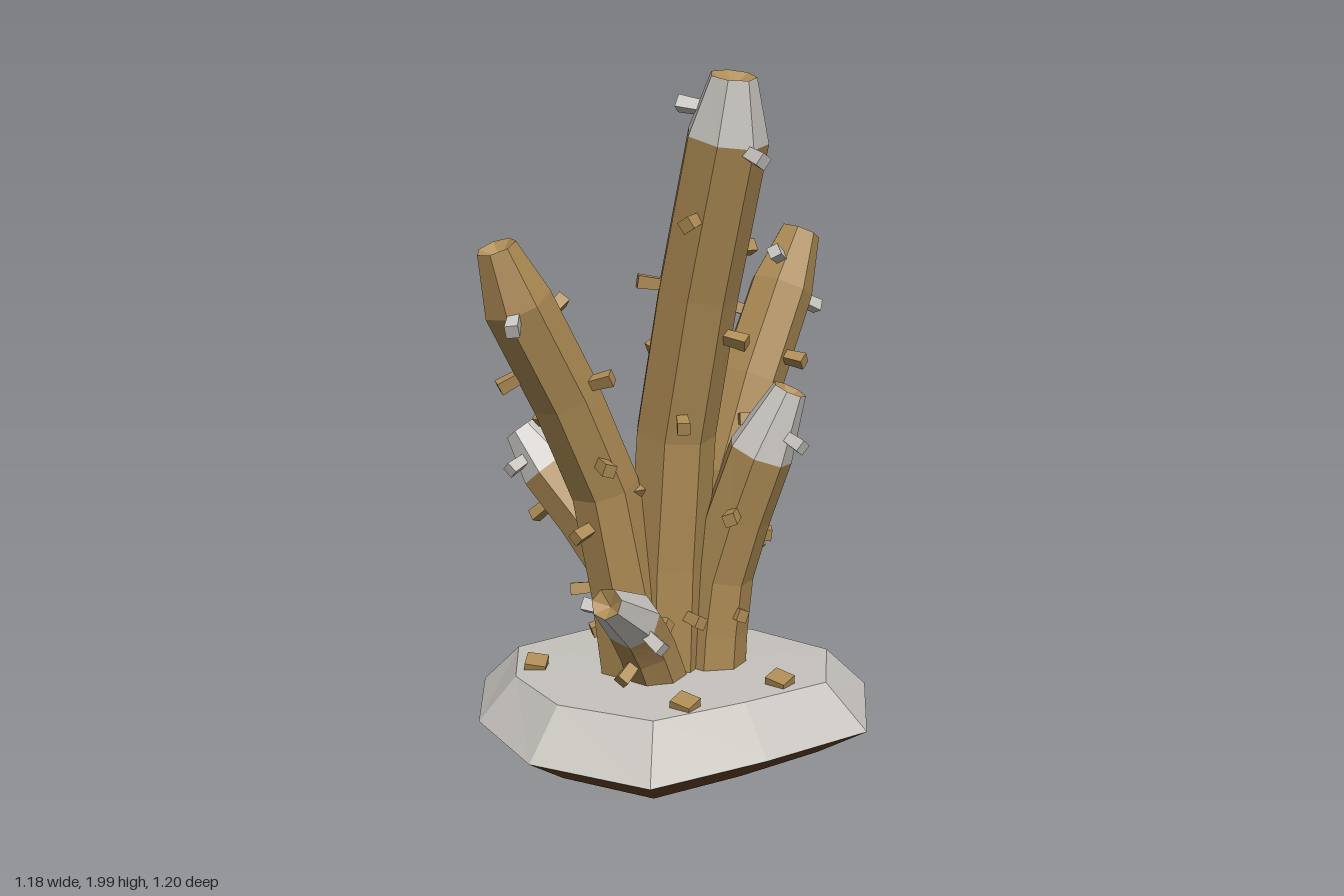
import * as THREE from 'three';

const UP = new THREE.Vector3(0, 1, 0);
const BASE_Y = 0.15;
const SIDES = 7;

function material(name, color) {
  const m = new THREE.MeshStandardMaterial({ color, flatShading: true });
  m.name = name;
  return m;
}

function mesh(parent, name, geometry, mat) {
  const m = new THREE.Mesh(geometry, mat);
  m.name = name;
  parent.add(m);
  return m;
}

// Faceted skin over successive rings, with optional fans closing each end
function skin(rings, bottom, top) {
  const pos = [];
  const tri = (...pts) => pts.forEach((p) => pos.push(p.x, p.y, p.z));
  const n = rings[0].length, last = rings[rings.length - 1];
  for (let i = 0; i < n; i++) {
    const j = (i + 1) % n;
    for (let k = 0; k + 1 < rings.length; k++) {
      const a = rings[k], b = rings[k + 1];
      tri(a[i], b[i], b[j]);
      tri(a[i], b[j], a[j]);
    }
    if (top) tri(last[i], top, last[j]);
    if (bottom) tri(rings[0][j], bottom, rings[0][i]);
  }
  const g = new THREE.BufferGeometry();
  g.setAttribute('position', new THREE.Float32BufferAttribute(pos, 3));
  g.computeVertexNormals();
  return g;
}

// Seven-sided ring square to a direction
function ring(centre, dir, radius) {
  const q = new THREE.Quaternion().setFromUnitVectors(UP, dir);
  return Array.from({ length: SIDES }, (_, i) => {
    const a = (i / SIDES) * Math.PI * 2;
    return new THREE.Vector3(Math.cos(a) * radius, 0, Math.sin(a) * radius).applyQuaternion(q).add(centre);
  });
}

// A curved body from foot through bend to shoulder, then a tapering tip
function makeStalk(name, foot, bend, shoulder, tip, radii, spineCount, spineTurn, tipMat, bark, pale) {
  const group = new THREE.Group();
  group.name = name;
  const curve = new THREE.CatmullRomCurve3([
    new THREE.Vector3(foot[0], BASE_Y, foot[1]), new THREE.Vector3(...bend), new THREE.Vector3(...shoulder)]);
  const centres = [...curve.getPoints(4), new THREE.Vector3(...tip)];
  const end = centres.length - 1;
  const radiusAt = (k) => (k === end ? radii[1] : radii[0] * (1 - 0.02 * k));
  const rings = centres.map((c, k) => ring(
    c,
    centres[Math.min(k + 1, end)].clone().sub(centres[Math.max(k - 1, 0)]).normalize(),
    radiusAt(k)));
  const tipDir = centres[end].clone().sub(centres[end - 1]).normalize();

  // Body, tip and dimpled end
  mesh(group, 'stalkBody', skin(rings.slice(0, end), centres[0]), bark);
  mesh(group, 'stalkTip', skin(rings.slice(end - 1)), tipMat);
  mesh(group, 'stalkEnd', skin([rings[end]], null, centres[end].clone().addScaledVector(tipDir, -0.035)), bark);

  // Spines wind down from the tip, closer together near it, square to the stalk
  const topY = THREE.MathUtils.lerp(shoulder[1], tip[1], 0.4);
  for (let i = 0; i < spineCount; i++) {
    const y = THREE.MathUtils.lerp(topY, 0.27, (i / spineCount) ** 1.15);
    const k = centres.findIndex((c) => c.y > y) - 1;
    const a = centres[k], b = centres[k + 1], t = (y - a.y) / (b.y - a.y);
    const tangent = b.clone().sub(a).normalize();
    const angle = THREE.MathUtils.degToRad(spineTurn - 150 * i);
    const dir = new THREE.Vector3(Math.cos(angle), 0, Math.sin(angle));
    dir.addScaledVector(tangent, -dir.dot(tangent)).normalize();
    const spineMat = y > shoulder[1] - 0.02 ? pale : bark;
    const spine = mesh(group, 'spine', new THREE.CylinderGeometry(0.026, 0.022, 0.08, 4), spineMat);
    const reach = THREE.MathUtils.lerp(radiusAt(k), radiusAt(k + 1), t) + 0.014;
    spine.position.lerpVectors(a, b, t).addScaledVector(dir, reach);
    spine.quaternion.setFromUnitVectors(UP, dir);
  }
  return group;
}

export function createModel() {
  const model = new THREE.Group();
  model.name = 'branchingCoral';
  const bark = material('tanBrown', 0xad8b54);
  const pale = material('paleGrey', 0xc9c6c0);
  const earth = material('darkBrown', 0x664428);

  // Irregular rock base, slightly tilted
  const outline = [[.585, -.01], [.55, .38], [.21, .6], [-.15, .495], [-.5, .36],
    [-.585, -.01], [-.45, -.35], [-.18, -.6], [.18, -.54], [.45, -.33]];
  const level = (scale, y, tilt) => outline.map(([x, z]) =>
    new THREE.Vector3(x * scale, y + tilt * (z - x), z * scale));
  const low = level(0.77, 0, 0), mid = level(1, 0.078, 0.02), high = level(0.8, 0.21, 0.035);
  mesh(model, 'rockTop', skin([mid, high], null, new THREE.Vector3(0, 0.222, 0)), pale);
  mesh(model, 'rockUnderside', skin([low, mid], new THREE.Vector3()), earth);

  // Pebbles lying on the rock
  [80, 132, 228, 293].forEach((deg, i) => {
    const a = THREE.MathUtils.degToRad(deg), x = 0.39 * Math.cos(a), z = 0.39 * Math.sin(a);
    const pebble = mesh(model, 'pebble', new THREE.BoxGeometry(0.06, 0.045, 0.065), bark);
    pebble.position.set(x, 0.217 + 0.04 * (z - x), z);
    pebble.rotation.set(0.15, [0.05, 0.1, 0.6, 0][i], 0.2);
  });

  // Stalks: foot, bend, shoulder, tip, radii, spine count, first spine angle, tip colour
  const stalk = (...args) => model.add(makeStalk(...args, bark, pale));
  stalk('tallStalk', [0, 0], [0, .95, .04], [-.05, 1.81, .26], [-.07, 1.975, .295], [.127, .065], 14, 255, pale);
  stalk('leftLeaningStalk', [-.09, -.03], [-.18, .8, -.08], [-.47, 1.37, -.135], [-.53, 1.525, -.15], [.108, .057], 12, 300, bark);
  stalk('rightLeaningStalk', [.13, .08], [.2, .8, .08], [.435, 1.34, .11], [.51, 1.505, .125], [.108, .062], 11, 170, bark);
  stalk('frontStalk', [.1, .1], [.12, .5, .12], [.155, .89, .24], [.2, 1.08, .31], [.108, .052], 5, 95, pale);
  stalk('backStalk', [.03, -.05], [0, .5, -.18], [-.08, .79, -.395], [-.115, .905, -.48], [.103, .054], 8, 190, pale);
  stalk('smallLeftStalk', [-.07, .05], [-.17, .34, .07], [-.265, .45, .1], [-.44, .56, .155], [.09, .045], 4, 265, pale);
  stalk('smallRightStalk', [.08, -.04], [.17, .3, -.09], [.24, .38, -.13], [.395, .48, -.225], [.09, .045], 4, 250, pale);
  return model;
}
